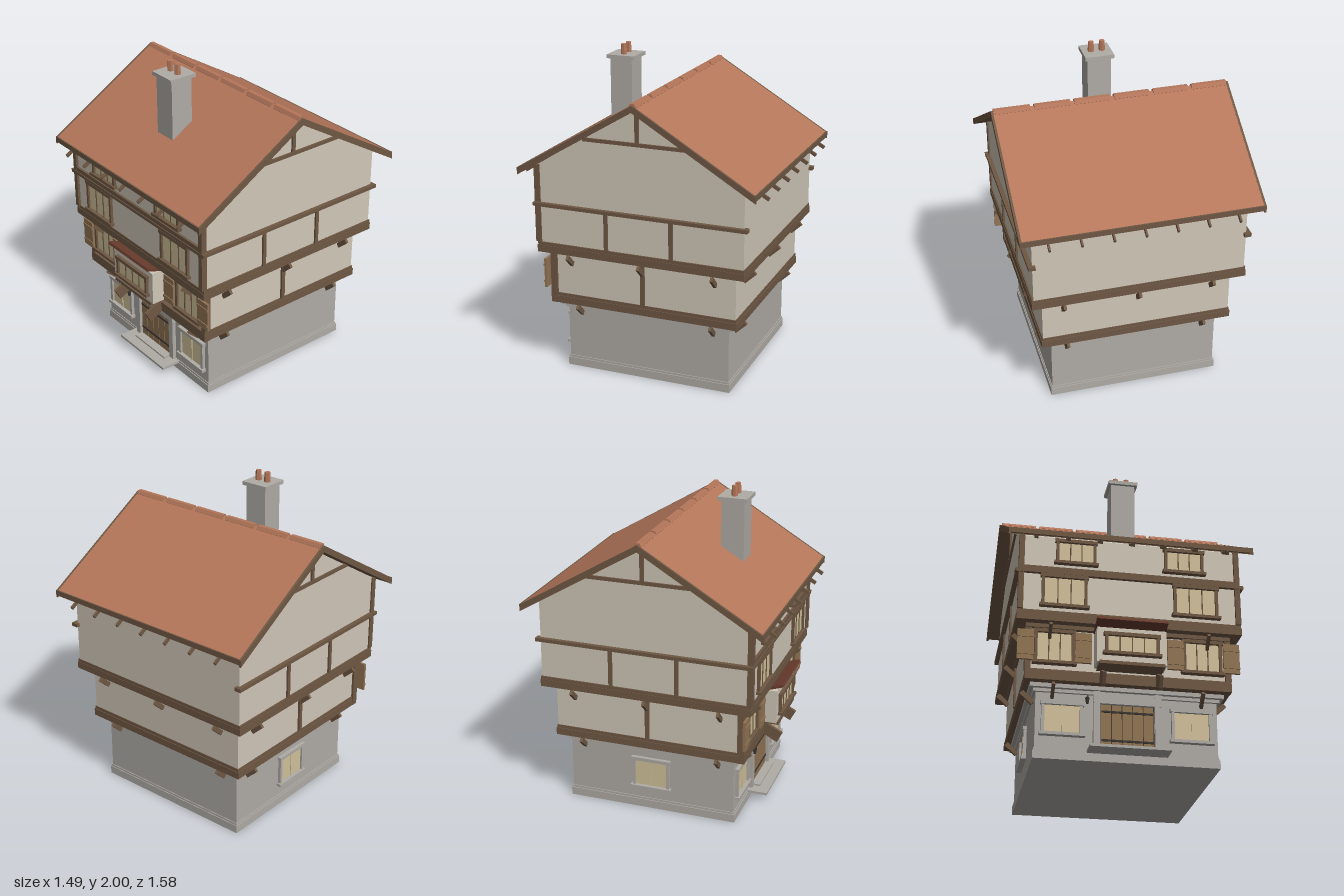
import * as THREE from 'three';

const mat = (color) => new THREE.MeshStandardMaterial({ color, flatShading: true });
const plaster = mat(0xd0c7b8), stone = mat(0xb0aca6), timber = mat(0x6f5844), plank = mat(0x937555);
const glass = mat(0xd2c29b), tile = mat(0xb5775b), darkTile = mat(0x6b3d2e), iron = mat(0x3a3632);
for (const m of [tile, timber]) m.side = THREE.DoubleSide;

function add(parent, name, geometry, material, x = 0, y = 0, z = 0) {
  const mesh = new THREE.Mesh(geometry, material);
  mesh.name = name;
  mesh.position.set(x, y, z);
  parent.add(mesh);
  return mesh;
}

// Box given by its extents along each axis
function block(parent, name, material, x0, x1, y0, y1, z0, z1) {
  return add(parent, name, new THREE.BoxGeometry(x1 - x0, y1 - y0, z1 - z0), material,
    (x0 + x1) / 2, (y0 + y1) / 2, (z0 + z1) / 2);
}

function group(parent, name) {
  const g = new THREE.Group();
  g.name = name;
  parent.add(g);
  return g;
}

// Outline in the (z, y) plane extruded along x, centred on x = 0
function extrudeX(points, width) {
  const shape = new THREE.Shape(points.map(([u, v]) => new THREE.Vector2(u, v)));
  return new THREE.ExtrudeGeometry(shape, { depth: width, bevelEnabled: false })
    .translate(0, 0, -width / 2).rotateY(Math.PI / 2);
}

// Square-plan ring or slab of half-size r
const slab = (p, name, m, r, y0, y1) => block(p, name, m, -r, r, y0, y1, -r, r);

// Framed window facing +z with its wall plane at z = 0
function makeWindow(parent, name, x, z, w, y0, y1, frame, mullions) {
  const g = group(parent, name), h = w / 2, t = 0.018;
  g.position.set(x, 0, z);
  block(g, 'pane', glass, -h, h, y0, y1, -0.01, 0.005);
  for (const s of [-1, 1]) {
    const c = s * (h + t / 2);
    block(g, 'jamb', frame, c - t / 2, c + t / 2, y0, y1, -0.01, 0.018);
  }
  block(g, 'lintel', frame, -h - 0.025, h + 0.025, y1, y1 + 0.022, -0.01, 0.022);
  block(g, 'sill', frame, -h - 0.03, h + 0.03, y0 - 0.018, y0, -0.01, 0.03);
  for (let i = 1; i <= mullions; i++) {
    const c = -h + (w * i) / (mullions + 1);
    block(g, 'mullion', frame === stone ? glass : frame, c - 0.003, c + 0.003, y0, y1, 0, 0.01);
  }
  return g;
}

// Sloping bracket under an overhang, seen on the side turned by angle
function bracket(parent, angle, along, y, r) {
  const g = group(parent, 'bracket');
  g.rotation.y = angle;
  const b = add(g, 'bracketStrut', new THREE.BoxGeometry(0.018, 0.03, 0.095), timber, along, y, r);
  b.rotation.x = -0.75;
}

export function createModel() {
  const house = new THREE.Group();
  house.name = 'house';

  // Stone ground floor
  const ground = group(house, 'groundFloor');
  slab(ground, 'plinth', stone, 0.545, 0, 0.052);
  slab(ground, 'plinthCap', stone, 0.54, 0.052, 0.066);
  slab(ground, 'groundWalls', stone, 0.535, 0.066, 0.44);
  slab(ground, 'lowerCornice', stone, 0.55, 0.405, 0.425);
  slab(ground, 'upperCornice', stone, 0.573, 0.425, 0.45);

  // Plastered middle floor
  const middle = group(house, 'middleFloor');
  slab(middle, 'middleBeams', timber, 0.608, 0.45, 0.495);
  slab(middle, 'middleSill', timber, 0.603, 0.495, 0.515);
  slab(middle, 'middleWalls', plaster, 0.598, 0.515, 0.8);
  block(middle, 'frontBeam', timber, -0.61, 0.61, 0.45, 0.515, 0.58, 0.62);
  block(middle, 'frontHeadBeam', timber, -0.61, 0.61, 0.775, 0.8, 0.58, 0.625);

  // Plastered upper floor with gables
  const upper = group(house, 'upperFloor');
  slab(upper, 'upperBeams', timber, 0.672, 0.8, 0.845);
  slab(upper, 'upperSill', timber, 0.669, 0.845, 0.865);
  const gable = [[-0.665, 0.865], [0.665, 0.865], [0.665, 1.355], [0, 1.755], [-0.665, 1.355]];
  add(upper, 'upperWalls', extrudeX(gable, 1.32), plaster);
  block(upper, 'frontRail', timber, -0.69, 0.69, 1.103, 1.123, 0.65, 0.686);
  block(upper, 'frontRailCap', timber, -0.64, 0.64, 1.123, 1.15, 0.65, 0.68);

  // Timber framing on both sides and at the front corners
  for (const s of [-1, 1]) {
    const side = group(house, s > 0 ? 'leftFraming' : 'rightFraming');
    const bar = (name, x, y0, y1, z0, z1, t = 0.012) =>
      block(side, name, timber, s * x - t, s * x + t, y0, y1, z0, z1);
    bar('sideRail', 0.665, 1.1, 1.122, -0.69, 0.685, 0.022);
    for (const z of [-0.21, 0.21]) bar('upperStud', 0.66, 0.865, 1.1, z - 0.012, z + 0.012);
    bar('lowerStud', 0.6, 0.515, 0.775, -0.013, 0.013);
    bar('headBeam', 0.6, 0.775, 0.798, -0.598, 0.598);
    bar('gableTie', 0.66, 1.538, 1.56, -0.35, 0.35);
    bar('kingPost', 0.66, 1.56, 1.75, -0.012, 0.012);
    bar('upperCornerPost', 0.653, 0.865, 1.36, 0.645, 0.682, 0.016);
    bar('lowerCornerPost', 0.594, 0.515, 0.78, 0.575, 0.618, 0.018);
  }

  // Brackets beneath each overhang
  for (let i = 0; i < 4; i++) {
    const angle = (i * Math.PI) / 2;
    for (const a of [-0.47, 0, 0.47]) if (i > 0 || a !== 0) bracket(house, angle, a, 0.752, 0.638);
    for (const a of [-0.44, 0.44]) bracket(house, angle, a, 0.405, 0.574);
  }

  // Front windows, mirrored
  for (const s of [-1, 1]) {
    makeWindow(house, 'groundWindow', s * 0.38, 0.537, 0.205, 0.158, 0.328, stone, 1);
    makeWindow(house, 'middleWindow', s * 0.44, 0.605, 0.2, 0.568, 0.748, timber, 2);
    makeWindow(house, 'upperWindow', s * 0.395, 0.665, 0.235, 0.905, 1.08, timber, 2);
    makeWindow(house, 'atticWindow', s * 0.328, 0.665, 0.205, 1.192, 1.32, timber, 2);
    for (const [a, b] of [[0.225, 0.322], [0.562, 0.66]]) {
      const x0 = Math.min(s * a, s * b), x1 = Math.max(s * a, s * b);
      block(house, 'shutter', plank, x0, x1, 0.563, 0.752, 0.622, 0.637);
      for (const y of [0.6, 0.71]) block(house, 'shutterBatten', plank, x0, x1, y - 0.008, y + 0.008, 0.637, 0.642);
    }
  }
  const sideWindow = group(house, 'sideWindow');
  sideWindow.rotation.y = -Math.PI / 2;
  makeWindow(sideWindow, 'groundSideWindow', 0, 0.537, 0.205, 0.158, 0.328, stone, 1);

  // Bay window with its canopy and corbels
  const bay = group(house, 'bayWindow');
  block(bay, 'bayBody', plaster, -0.205, 0.205, 0.55, 0.768, 0.58, 0.705);
  block(bay, 'baySill', timber, -0.192, 0.192, 0.535, 0.555, 0.58, 0.715);
  makeWindow(bay, 'bayGlazing', 0, 0.705, 0.285, 0.61, 0.712, timber, 3);
  const canopy = add(bay, 'bayCanopy', new THREE.BoxGeometry(0.42, 0.018, 0.14), darkTile, 0, 0.79, 0.675);
  canopy.rotation.x = -0.32;
  for (const x of [-0.165, 0.165]) {
    const c = add(bay, 'bayCorbel', new THREE.BoxGeometry(0.02, 0.075, 0.127), timber, x, 0.468, 0.665);
    c.rotation.x = 0.48;
  }

  // Plank door, stone surround and step
  const door = group(house, 'entrance');
  for (let i = 0; i < 5; i++) {
    const x = -0.155 + i * 0.062;
    block(door, 'doorPlank', plank, x + 0.002, x + 0.06, 0.066, 0.348, 0.53, 0.545);
  }
  block(door, 'doorBack', iron, -0.158, 0.158, 0.066, 0.35, 0.53, 0.54);
  for (const y of [0.13, 0.305]) block(door, 'doorStrap', iron, -0.15, 0.15, y - 0.006, y + 0.006, 0.54, 0.55);
  for (const s of [-1, 1]) block(door, 'doorJamb', stone, s * 0.18 - 0.02, s * 0.18 + 0.02, 0.066, 0.44, 0.53, 0.56);
  block(door, 'doorLintel', stone, -0.2, 0.2, 0.35, 0.4, 0.53, 0.562);
  block(door, 'doorStep', stone, -0.235, 0.235, 0.048, 0.064, 0.53, 0.665);
  block(door, 'doorSill', stone, -0.16, 0.16, 0.064, 0.075, 0.53, 0.6);

  // Wall lantern
  const lantern = group(house, 'lantern');
  block(lantern, 'lanternArm', iron, -0.244, -0.236, 0.37, 0.378, 0.53, 0.595);
  add(lantern, 'lanternBody', new THREE.CylinderGeometry(0.014, 0.008, 0.035, 6), iron, -0.24, 0.352, 0.582);

  // Roof: tiles over timber boarding
  const roof = group(house, 'roof');
  const chevron = (r, top, t) => {
    const eave = top - r * 0.6;
    return [[-r, eave - t], [0, top - t], [r, eave - t], [r, eave], [0, top], [-r, eave]];
  };
  add(roof, 'roofTiles', extrudeX(chevron(0.75, 1.8, 0.022), 1.47), tile);
  add(roof, 'roofBoards', extrudeX(chevron(0.745, 1.778, 0.018), 1.46), timber);
  for (const s of [-1, 1]) {
    add(roof, 'bargeBoard', extrudeX(chevron(0.755, 1.801, 0.042), 0.014), timber, s * 0.736);
    block(roof, 'eaveFascia', timber, -0.742, 0.742, 1.318, 1.352, s * 0.75 - 0.006, s * 0.75 + 0.006);
    for (let i = -3; i <= 3; i++) {
      const rafter = add(roof, 'rafterTail', new THREE.BoxGeometry(0.012, 0.022, 0.16), timber, i * 0.192, 1.327, s * 0.715);
      rafter.rotation.x = s * 0.54;
    }
  }
  for (let i = 0; i < 6; i++) {
    const ridge = new THREE.CylinderGeometry(0.025, 0.025, 0.222, 6).rotateZ(Math.PI / 2);
    add(roof, 'ridgeTile', ridge, tile, (i - 2.5) * 0.2465, 1.787, 0);
  }

  // Chimney with two pots
  const chimney = group(house, 'chimney');
  block(chimney, 'chimneyStack', stone, -0.075, 0.075, 1.535, 1.915, 0.29, 0.435);
  block(chimney, 'chimneyCap', stone, -0.092, 0.092, 1.912, 1.936, 0.27, 0.453);
  for (const x of [-0.035, 0.035])
    add(chimney, 'chimneyPot', new THREE.CylinderGeometry(0.018, 0.021, 0.065, 6), tile, x, 1.9675, 0.36);

  return house;
}
